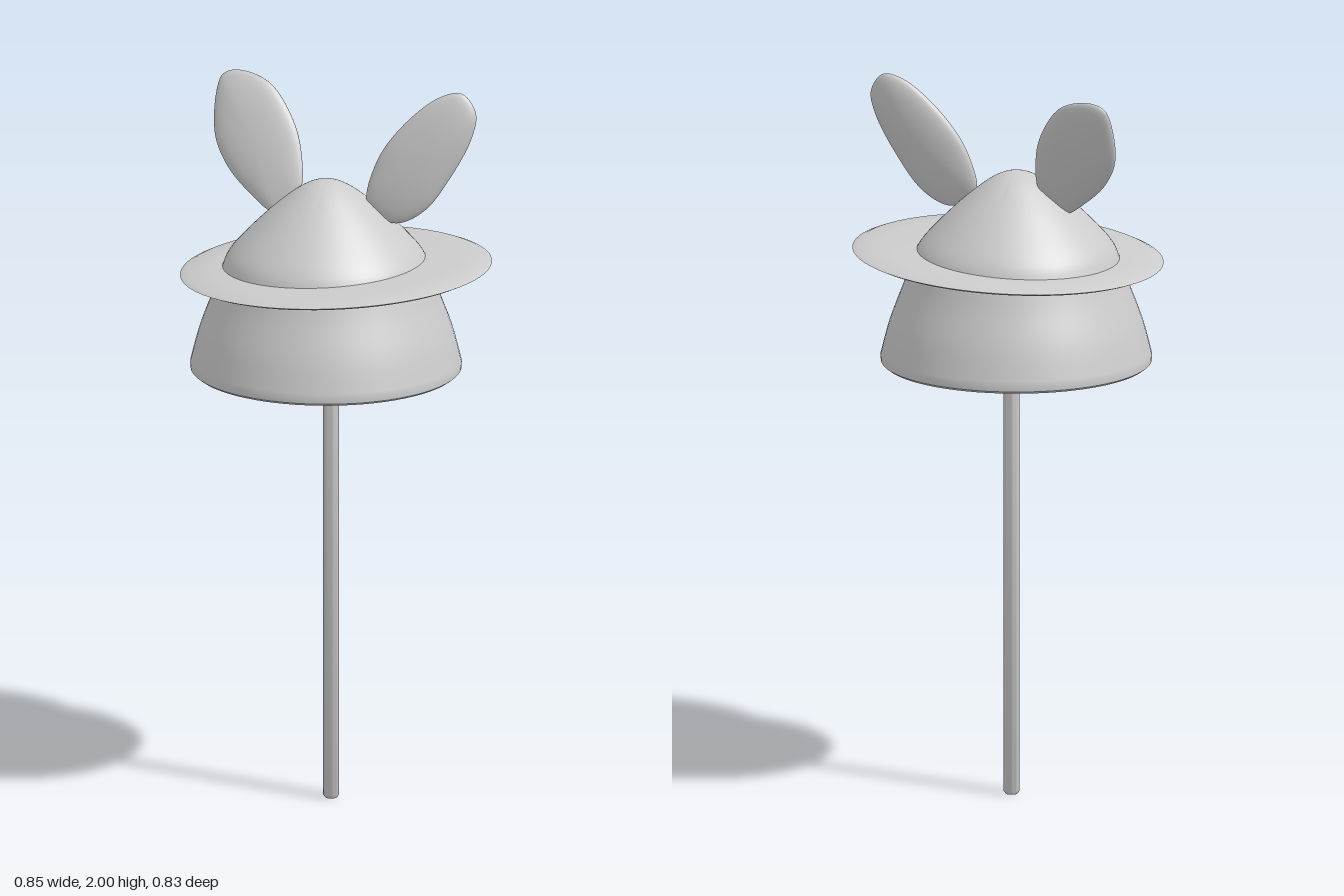
import * as THREE from 'three';
import { mergeVertices, toCreasedNormals } from 'three/addons/utils/BufferGeometryUtils.js';

const material = new THREE.MeshStandardMaterial({ color: 0xcccccc });

function addMesh(group, name, geometry, x = 0, y = 0, z = 0) {
  const mesh = new THREE.Mesh(geometry, material);
  mesh.name = name;
  mesh.position.set(x, y, z);
  group.add(mesh);
  return mesh;
}

// Turned solid with sharp edges kept where the profile bends strongly
function turned(points, segments = 72) {
  const profile = points.map(([r, y]) => new THREE.Vector2(r, y));
  return toCreasedNormals(new THREE.LatheGeometry(profile, segments), 0.7);
}

// Flattened pebble: a sphere whose equator follows a counterclockwise outline
// and whose middle surface leans back by depthAt(x, y)
function earGeometry(outline, halfThickness, depthAt) {
  const points = outline.map(([x, y]) => new THREE.Vector3(x, y, 0));
  const curve = new THREE.CatmullRomCurve3(points, true);
  const centre = points.reduce((sum, p) => sum.add(p), new THREE.Vector3()).divideScalar(points.length);
  const geometry = new THREE.SphereGeometry(1, 56, 28);
  const pos = geometry.attributes.position;
  const uv = geometry.attributes.uv;
  for (let i = 0; i < pos.count; i++) {
    const polar = (1 - uv.getY(i)) * Math.PI;
    const u = ((uv.getX(i) % 1) + 1) % 1;
    const p = centre.clone().lerp(curve.getPoint(u), Math.sin(polar));
    pos.setXYZ(i, p.x, p.y, depthAt(p.x, p.y) + halfThickness * Math.cos(polar));
  }
  geometry.deleteAttribute('uv');
  geometry.deleteAttribute('normal');
  const merged = mergeVertices(geometry, 1e-5);
  merged.computeVertexNormals();
  return merged;
}

export function createModel() {
  const group = new THREE.Group();

  // Long thin stick with softened ends
  addMesh(group, 'stick', turned([
    [0, 0], [0.016, 0], [0.022, 0.008], [0.022, 1.24], [0, 1.24],
  ], 32), -0.017, 0, -0.015);

  // Flared head running up into a rounded cone
  const flank = new THREE.SplineCurve([
    [0.37, 1.235], [0.345, 1.33], [0.308, 1.43], [0.284, 1.5], [0.256, 1.555],
    [0.17, 1.645], [0.09, 1.713], [0.04, 1.742], [0, 1.75],
  ].map(([r, y]) => new THREE.Vector2(r, y))).getPoints(40).map((p) => [Math.max(p.x, 0), p.y]);
  addMesh(group, 'head', turned([[0, 1.213], [0.36, 1.213], [0.369, 1.22], ...flank]), -0.032, 0, -0.018);

  // Thin, slightly tilted brim
  const brim = addMesh(group, 'brim', turned([
    [0, -0.012], [0.34, -0.011], [0.41, -0.007], [0.426, 0], [0.41, 0.007], [0.34, 0.013], [0, 0.018],
  ]), 0, 1.507, 0);
  brim.scale.z = 0.975;
  brim.rotation.z = 0.05;

  // Upright left ear
  addMesh(group, 'leftEar', earGeometry([
    [0.08, 1.68], [0.155, 1.635], [0.235, 1.67], [0.31, 1.77], [0.367, 1.885],
    [0.375, 1.95], [0.335, 2.0], [0.27, 1.985], [0.165, 1.895], [0.1, 1.795],
  ], 0.032, (x, y) => -0.03 - 0.13 * (y - 1.65)));

  // Right ear, leaning back and turned outward
  addMesh(group, 'rightEar', earGeometry([
    [-0.37, 1.94], [-0.365, 1.83], [-0.325, 1.755], [-0.255, 1.69], [-0.175, 1.645],
    [-0.11, 1.7], [-0.115, 1.81], [-0.15, 1.895], [-0.22, 1.975], [-0.31, 2.0], [-0.355, 1.985],
  ], 0.03, (x, y) => 0.589 + 0.13 * x - 0.36 * y));

  return group;
}
